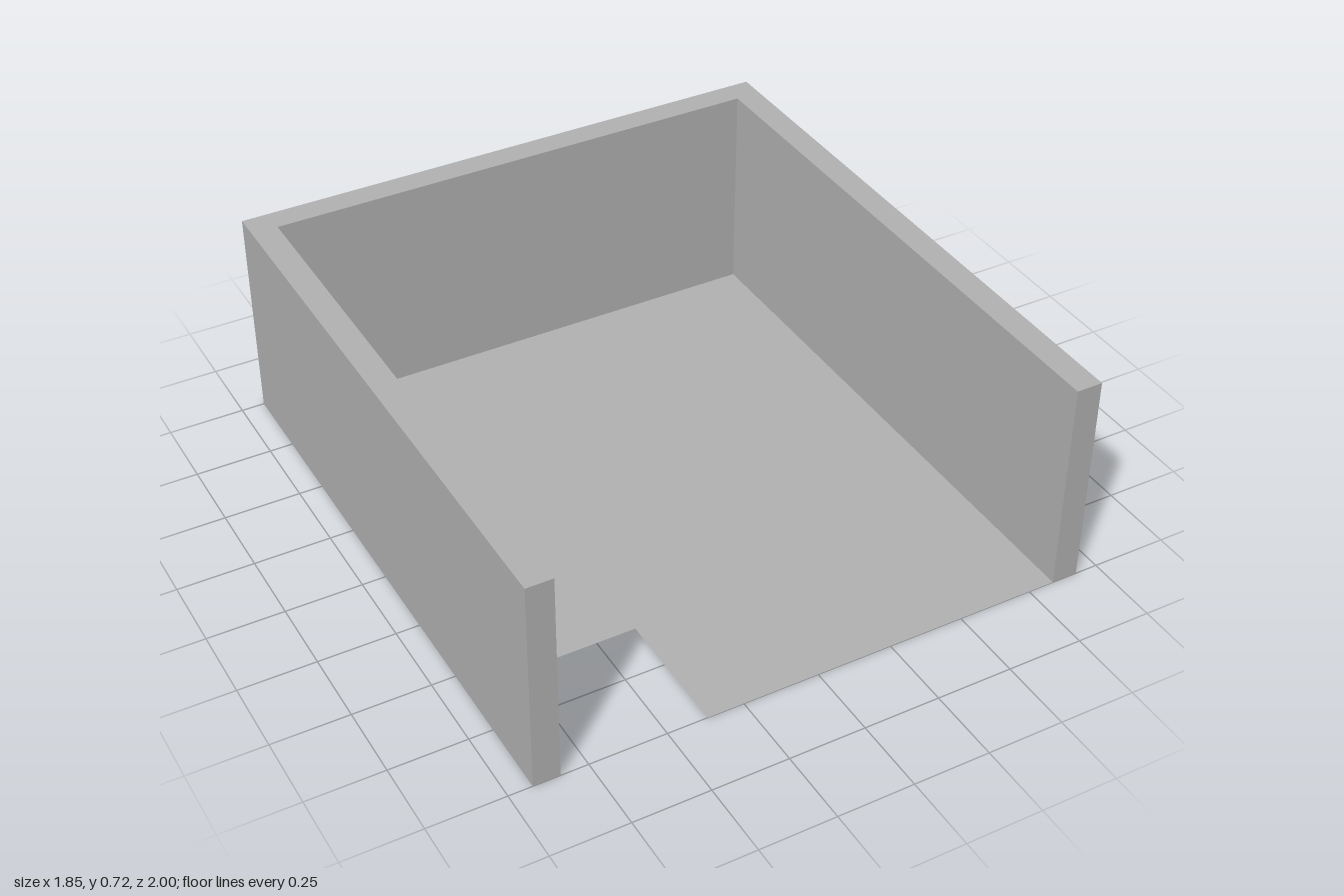
import * as THREE from 'three';

const W = 0.924;      // outer half width
const T = 0.086;      // wall thickness
const H = 0.72;       // wall height
const IN = W - T;     // inner half width
const BACK = -1 + T;  // inner face of the back wall

// Outline from [x, z] plan points, laid flat by rotating about x
function plan(points) {
  return new THREE.Shape(points.map(([x, z]) => new THREE.Vector2(x, -z)));
}

export function createModel() {
  const group = new THREE.Group();
  group.name = 'openRoom';

  const wallGrey = new THREE.MeshStandardMaterial({ color: 0xb2b2b2, side: THREE.DoubleSide });
  wallGrey.name = 'plain grey';

  // U-shaped walls, open to the front
  const wallGeometry = new THREE.ExtrudeGeometry(plan([
    [-W, 1], [-IN, 1], [-IN, BACK], [IN, BACK], [IN, 1], [W, 1], [W, -1], [-W, -1],
  ]), { depth: H, bevelEnabled: false });
  wallGeometry.rotateX(-Math.PI / 2);
  const walls = new THREE.Mesh(wallGeometry, wallGrey);
  walls.name = 'walls';

  // Paper-thin floor with a notch at the front right corner
  const floorGeometry = new THREE.ShapeGeometry(plan([
    [-IN, 0.572], [-0.37, 0.572], [-0.37, 1], [IN, 1], [IN, BACK], [-IN, BACK],
  ]));
  floorGeometry.rotateX(-Math.PI / 2);
  const floor = new THREE.Mesh(floorGeometry, wallGrey);
  floor.name = 'floor';

  group.add(walls, floor);
  return group;
}
